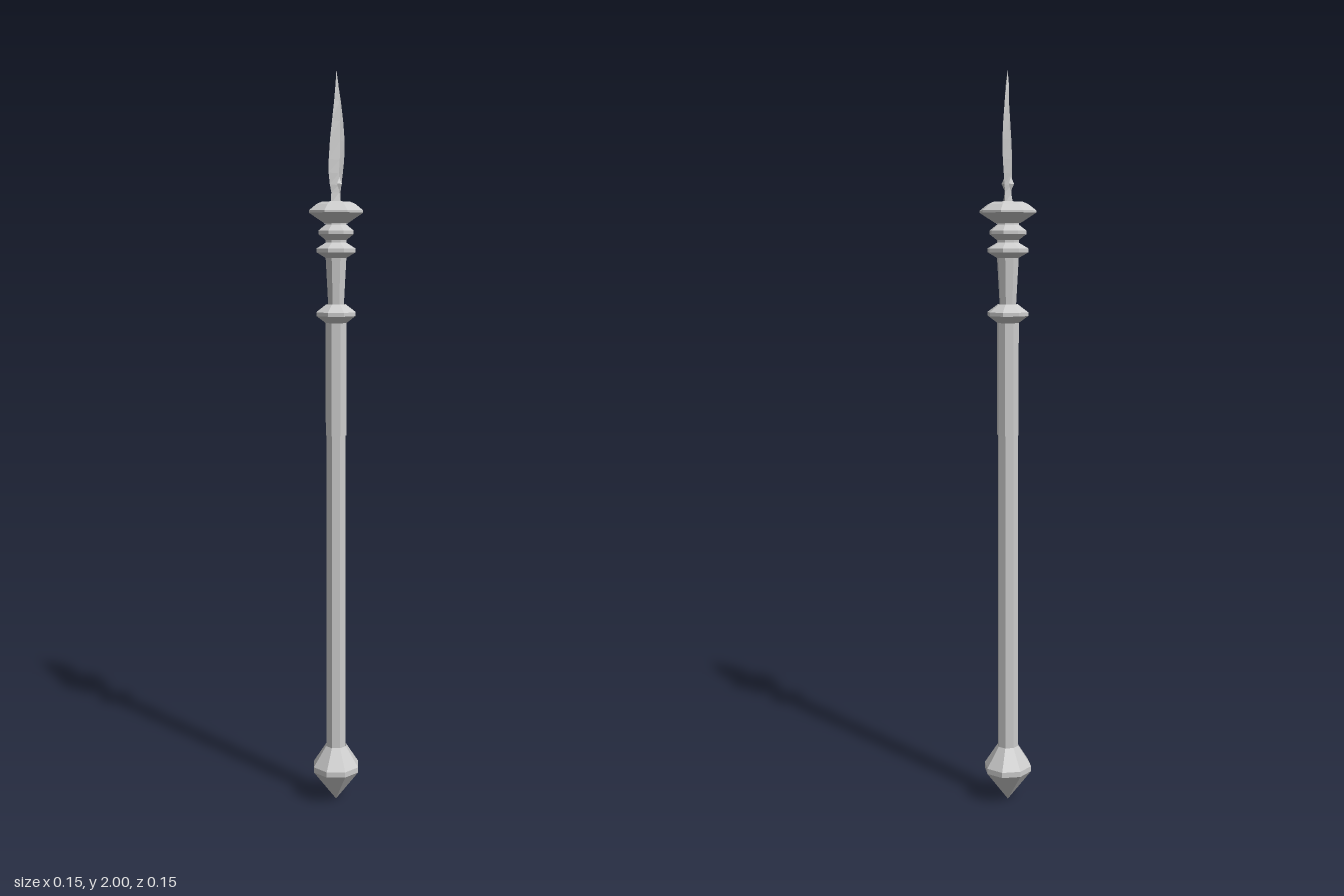
import * as THREE from 'three';

const material = new THREE.MeshStandardMaterial({ color: 0xcccccc, flatShading: true, side: THREE.DoubleSide });

// Eight-sided turned part from [radius, height] pairs, bottom to top
function turned(name, profile) {
  const points = profile.map(([r, y]) => new THREE.Vector2(r, y));
  const mesh = new THREE.Mesh(new THREE.LatheGeometry(points, 8), material);
  mesh.name = name;
  return mesh;
}

// Faceted ring with a sharp rim
const ring = (name, y, rim, core, half) => turned(name, [
  [core, y - half], [rim, y - 0.005], [rim, y + 0.005], [core, y + half],
]);

// Loft of diamond sections: [height, back z, front z, half thickness]
function bladeGeometry(sections) {
  const positions = [];
  const index = [];
  for (const [y, back, front, t] of sections) {
    const mid = (back + front) / 2;
    positions.push(0, y, front, t, y, mid, 0, y, back, -t, y, mid);
  }
  for (let i = 0; i < sections.length - 1; i++) {
    for (let k = 0; k < 4; k++) {
      const a = i * 4 + k, b = i * 4 + (k + 1) % 4;
      index.push(a, b, b + 4, a, b + 4, a + 4);
    }
  }
  const geometry = new THREE.BufferGeometry();
  geometry.setAttribute('position', new THREE.Float32BufferAttribute(positions, 3));
  geometry.setIndex(index);
  geometry.computeVertexNormals();
  return geometry;
}

export function createModel() {
  const model = new THREE.Group();
  model.name = 'spear';

  // Pointed foot and long shaft
  model.add(turned('pommel', [[0, 0], [0.067, 0.088], [0.067, 0.103], [0.03, 0.16]]));
  model.add(turned('shaft', [[0.029, 0.15], [0.028, 1.04], [0.03, 1.04], [0.03, 1.35]]));

  // Neck flaring towards the head
  model.add(turned('neck', [[0.022, 1.38], [0.03, 1.52], [0.03, 1.64]]));

  // Collar rings
  model.add(ring('lowerRing', 1.367, 0.056, 0.027, 0.026));
  model.add(ring('middleRing', 1.535, 0.056, 0.03, 0.02));
  model.add(ring('upperRing', 1.582, 0.05, 0.03, 0.02));

  // Wide guard under the blade
  model.add(turned('guard', [
    [0.034, 1.606], [0.077, 1.633], [0.077, 1.639], [0.056, 1.655], [0.04, 1.662], [0, 1.662],
  ]));

  // Curved leaf blade
  const blade = new THREE.Mesh(bladeGeometry([
    [1.655, -0.034, 0.036, 0.014],
    [1.685, -0.03, 0.032, 0.009],
    [1.705, -0.037, 0.042, 0.009],
    [1.735, -0.046, 0.05, 0.009],
    [1.77, -0.056, 0.049, 0.009],
    [1.82, -0.06, 0.041, 0.008],
    [1.87, -0.05, 0.027, 0.007],
    [1.92, -0.034, 0.013, 0.006],
    [1.965, -0.015, 0.003, 0.004],
    [2.0, -0.002, -0.002, 0],
  ]), material);
  blade.name = 'blade';
  model.add(blade);

  // Small studs on both faces of the blade root
  for (const side of [1, -1]) {
    const stud = new THREE.Mesh(new THREE.OctahedronGeometry(1), material);
    stud.name = side > 0 ? 'leftStud' : 'rightStud';
    stud.scale.set(0.011, 0.024, 0.012);
    stud.position.set(side * 0.006, 1.708, 0);
    model.add(stud);
  }
  return model;
}
